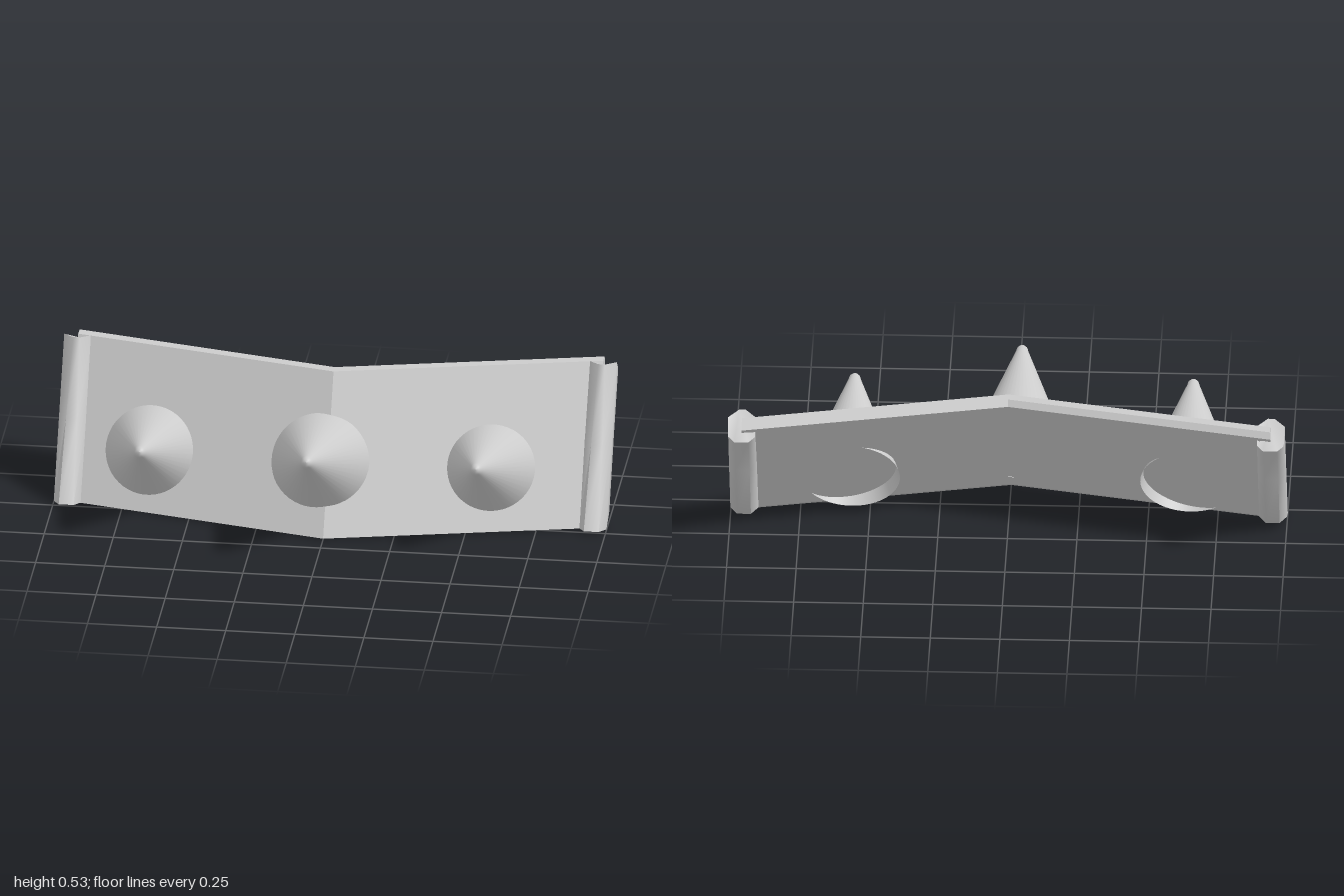
import * as THREE from 'three';
import { toCreasedNormals } from 'three/addons/utils/BufferGeometryUtils.js';

// Skin a row of closed rings (counter-clockwise seen from the last ring) and cap both ends
function loft(rings, crease) {
  const n = rings[0].length;
  const index = [];
  for (let i = 0; i < rings.length - 1; i++) {
    for (let j = 0; j < n; j++) {
      const k = (j + 1) % n;
      const a = i * n + j, b = i * n + k, c = b + n, d = a + n;
      index.push(a, b, c, a, c, d);
    }
  }
  const last = (rings.length - 1) * n;
  for (let j = 1; j < n - 1; j++) {
    index.push(0, j + 1, j);
    index.push(last, last + j, last + j + 1);
  }
  const geometry = new THREE.BufferGeometry();
  geometry.setAttribute('position', new THREE.Float32BufferAttribute(rings.flat(2), 3));
  geometry.setIndex(index);
  return toCreasedNormals(geometry, crease);
}

export function createModel() {
  const group = new THREE.Group();
  const material = new THREE.MeshStandardMaterial({ color: 0xcccccc });
  const openMaterial = new THREE.MeshStandardMaterial({ color: 0xcccccc, side: THREE.DoubleSide });

  function add(name, geometry, mat = material) {
    const mesh = new THREE.Mesh(geometry, mat);
    mesh.name = name;
    group.add(mesh);
    return mesh;
  }

  // Leaning plate, folded along its middle: one [z, y] section swept along x
  const section = [[0.175, 0.003], [0.15, 0], [0.112, 0.025], [-0.183, 0.503], [-0.168, 0.525], [-0.13, 0.525]];
  const plateRings = [-0.95, 0, 0.95].map((x) =>
    section.map(([z, y]) => [x, y, z - 0.222 * Math.abs(x)]));
  add('plate', loft(plateRings, 0.15));

  // Eight-sided end posts: levels from bottom to top, [half width, y, z] from front to back
  const levels = [
    [[0.027, 0.01, 0.012], [0.05, 0.003, -0.03], [0.05, 0.035, -0.115], [0.025, 0.028, -0.15]],
    [[0.02, 0.28, -0.145], [0.05, 0.28, -0.19], [0.05, 0.28, -0.25], [0.025, 0.28, -0.285]],
    [[0.012, 0.533, -0.292], [0.05, 0.525, -0.335], [0.048, 0.475, -0.39], [0.025, 0.47, -0.422]],
  ];
  const postRings = levels.map((half) => [
    ...half.map(([w, y, z]) => [w, y, z]),
    ...[...half].reverse().map(([w, y, z]) => [-w, y, z]),
  ]);
  const postGeometry = loft(postRings, 1.0);
  for (const side of [-1, 1]) {
    add(side > 0 ? 'leftPost' : 'rightPost', postGeometry).position.x = side * 0.95;
  }

  // Open, blunt-tipped spikes pushed through the plate; the tip is at the origin
  const profile = [[0.177, -0.458], [0.023, -0.027], [0.019, -0.012], [0.011, -0.003], [0, 0]]
    .map(([r, y]) => new THREE.Vector2(r, y));
  const spikeGeometry = new THREE.LatheGeometry(profile, 48);
  spikeGeometry.rotateX(1.147);
  const tips = [
    ['rightSpike', -0.65, 0.363, 0.295],
    ['middleSpike', -0.03, 0.417, 0.427],
    ['leftSpike', 0.567, 0.363, 0.295],
  ];
  for (const [name, x, y, z] of tips) {
    add(name, spikeGeometry, openMaterial).position.set(x, y, z);
  }

  return group;
}
